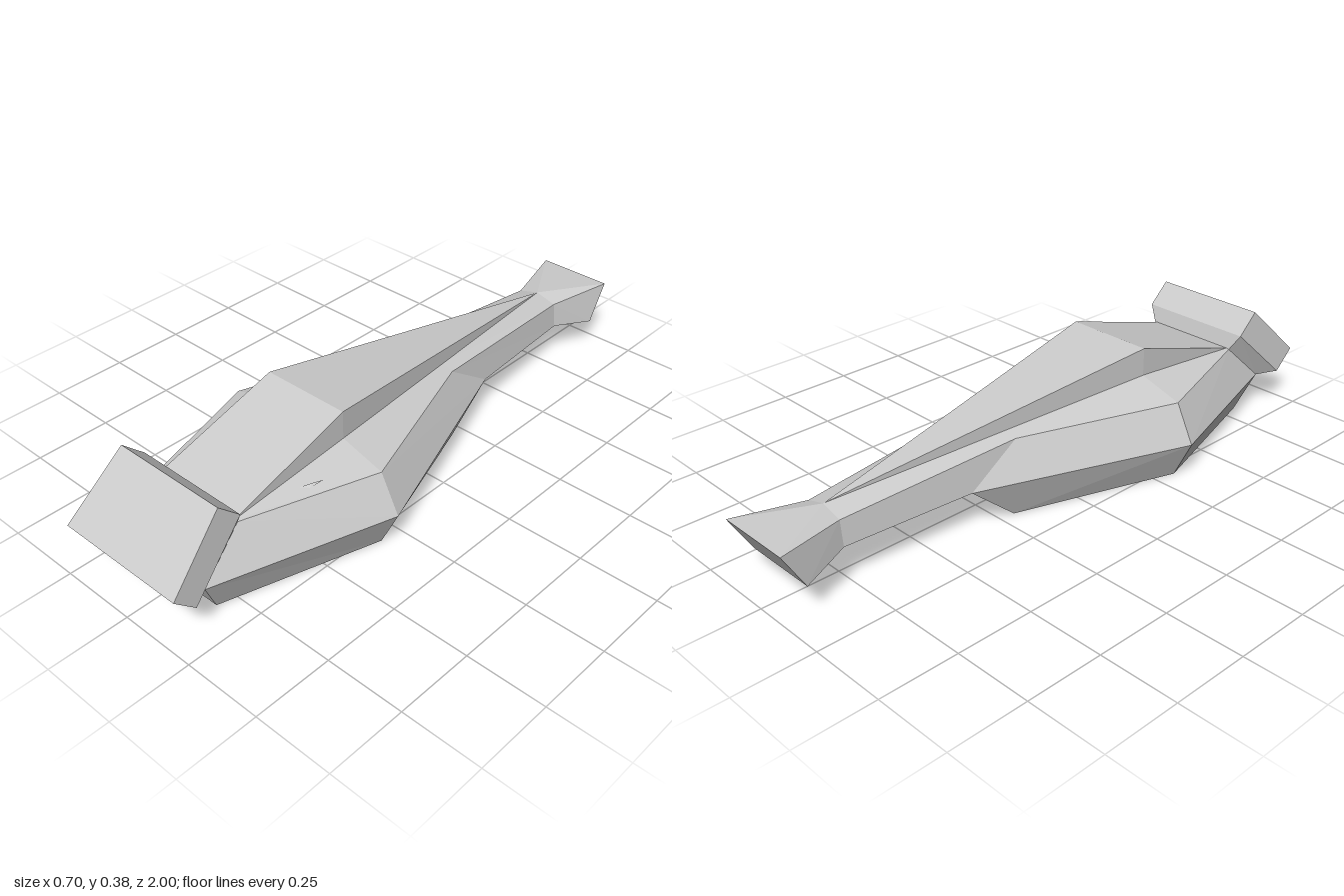
import * as THREE from 'three';

const material = new THREE.MeshStandardMaterial({ color: 0xcccccc, flatShading: true });

// Lofts mirrored sections. Each section lists [x, y, z] points of the +x half,
// from bottom to top; sections run from front to back.
function loft(name, sections) {
  const positions = [];
  const tri = (a, b, c) => {
    const [A, B, C] = [a, b, c].map((p) => new THREE.Vector3(...p));
    const area = B.clone().sub(A).cross(C.clone().sub(A)).length();
    if (area > 1e-6) positions.push(...a, ...b, ...c);
  };
  const flip = ([x, y, z]) => [-x, y, z];
  const mirroredTri = (a, b, c) => {
    tri(a, b, c);
    tri(flip(a), flip(c), flip(b));
  };
  const quad = (a, b, c, d) => {
    tri(a, b, c);
    tri(a, c, d);
  };

  for (let i = 0; i < sections.length - 1; i++) {
    const s = sections[i], t = sections[i + 1], top = s.length - 1;
    // side panels
    for (let j = 0; j < top; j++) {
      mirroredTri(s[j], t[j], s[j + 1]);
      mirroredTri(t[j], t[j + 1], s[j + 1]);
    }
    // roof and floor panels
    quad(s[top], t[top], flip(t[top]), flip(s[top]));
    quad(s[0], flip(s[0]), flip(t[0]), t[0]);
  }
  // front and back caps
  const f = sections[0], b = sections[sections.length - 1];
  for (let j = 0; j < f.length - 1; j++) {
    quad(f[j], f[j + 1], flip(f[j + 1]), flip(f[j]));
    quad(flip(b[j]), flip(b[j + 1]), b[j + 1], b[j]);
  }

  const geometry = new THREE.BufferGeometry();
  geometry.setAttribute('position', new THREE.Float32BufferAttribute(positions, 3));
  geometry.computeVertexNormals();
  const mesh = new THREE.Mesh(geometry, material);
  mesh.name = name;
  return mesh;
}

export function createModel() {
  const group = new THREE.Group();
  group.name = 'craft';

  // Hull, spine and tail: keel, widest edge, deck edge, spine foot, spine top
  const deckRear = [[0.115, 0.248, -0.19], [0.078, 0.262, -0.19], [0.078, 0.31, -0.19]];
  const boomStart = [0.115, 0.135, -0.36];
  const boomEnd = [0.08, 0.13, -0.78];
  const tailFoot = [0.125, 0.1, -0.93];
  group.add(loft('hull', [
    [[0.14, 0, 0.81], [0.177, 0.122, 0.87], [0.16, 0.253, 0.73], [0.15, 0.255, 0.73], [0.15, 0.255, 0.73]],
    [[0.29, 0, 0.32], [0.352, 0.125, 0.32], [0.29, 0.247, 0.32], [0.146, 0.29, 0.32], [0.146, 0.38, 0.32]],
    [[0.115, 0, -0.2], boomStart, ...deckRear],
    [boomStart, boomStart, ...deckRear],
    [boomEnd, boomEnd, [0.07, 0.21, -0.78], [0, 0.23, -0.78], [0, 0.23, -0.78]],
    [tailFoot, tailFoot, [0.125, 0.22, -1], [0, 0.22, -1], [0, 0.22, -1]],
  ]));

  // Slanted nose plate, tapering back onto the hull
  group.add(loft('nosePlate', [
    [[0.218, 0.192, 1], [0.192, 0.37, 0.815]],
    [[0.218, 0.129, 0.932], [0.192, 0.305, 0.745]],
    [[0.177, 0.122, 0.87], [0.16, 0.253, 0.73]],
  ]));

  // Tiny raised chip on the left deck
  const chipGeometry = new THREE.BufferGeometry();
  chipGeometry.setAttribute('position', new THREE.Float32BufferAttribute([
    0.185, 0.262, 0.53, 0.205, 0.259, 0.51, 0.2, 0.266, 0.5,
    0.205, 0.259, 0.51, 0.212, 0.264, 0.465, 0.2, 0.266, 0.5,
  ], 3));
  chipGeometry.computeVertexNormals();
  const chipMaterial = material.clone();
  chipMaterial.side = THREE.DoubleSide;
  const chip = new THREE.Mesh(chipGeometry, chipMaterial);
  chip.name = 'deckChip';
  group.add(chip);

  return group;
}
